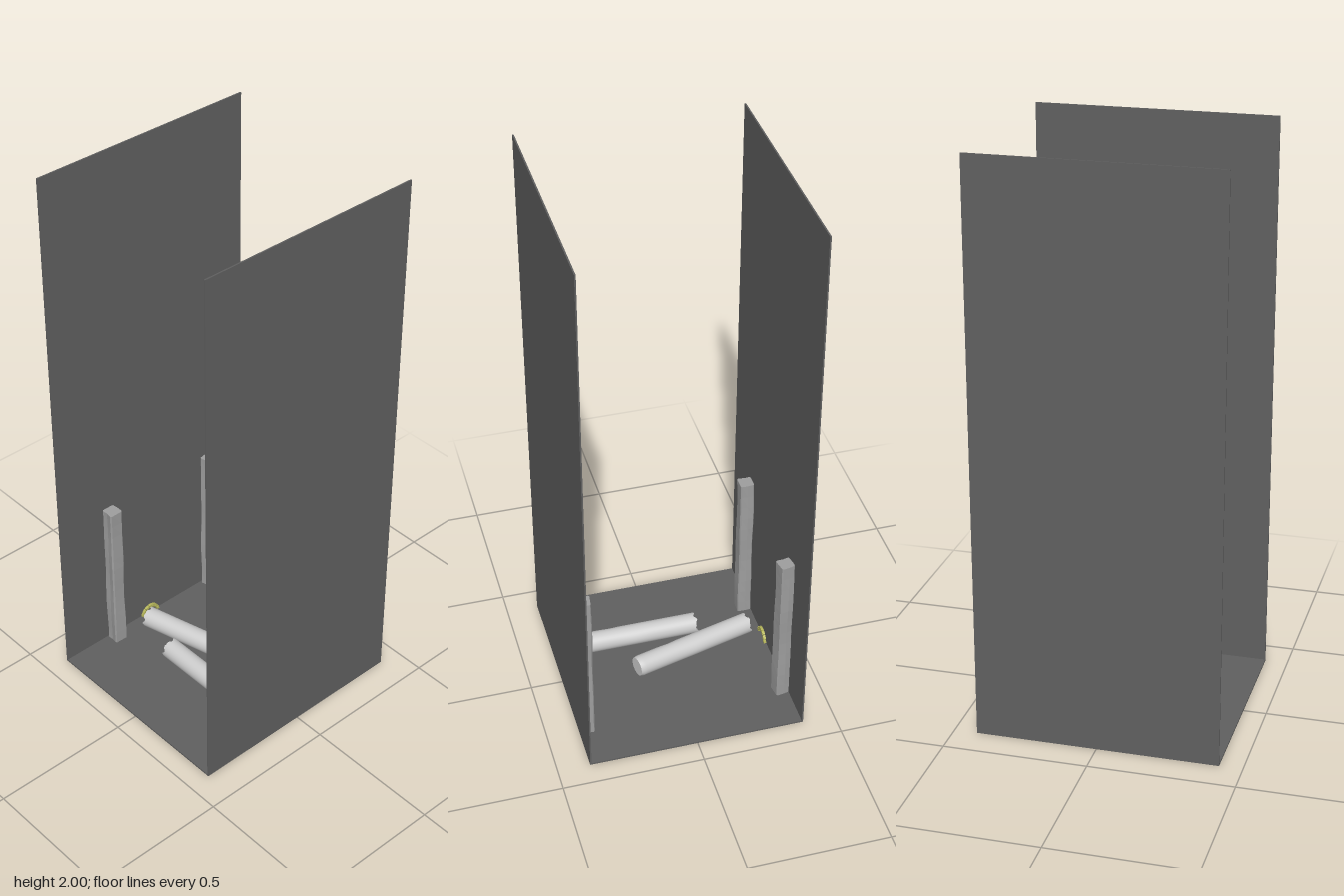
import * as THREE from 'three';

const mat = (color, extra = {}) => new THREE.MeshStandardMaterial({ color, ...extra });

function add(parent, name, geometry, material, x = 0, y = 0, z = 0) {
  const mesh = new THREE.Mesh(geometry, material);
  mesh.name = name;
  mesh.position.set(x, y, z);
  parent.add(mesh);
  return mesh;
}

// Log lying along z: cut end at +z, splintered end at -z, a worn dent on its -x side
function logGeometry(radius, length) {
  const g = new THREE.CylinderGeometry(radius, radius, length, 32, 40);
  g.rotateX(Math.PI / 2);
  const p = g.attributes.position;
  const v = new THREE.Vector3();
  for (let i = 0; i < p.count; i++) {
    v.fromBufferAttribute(p, i);
    const r = Math.hypot(v.x, v.y);
    if (r > 1e-4) {
      const a = Math.atan2(v.y, v.x);
      const side = Math.max(0, -Math.cos(a));
      const dent = 0.007 * side ** 4 * Math.exp(-(((v.z - 0.09) / 0.022) ** 2));
      const knot = 0.002 * Math.max(0, Math.cos(a)) ** 6 * Math.exp(-(((v.z - 0.0) / 0.05) ** 2));
      const rim = v.z > length / 2 - 0.001 ? 0.003 : 0;
      const k = (r - dent + knot - rim) / r;
      v.x *= k;
      v.y *= k;
      if (v.z < -length / 2 + 0.001) v.z += 0.004 * Math.sin(5 * a) + 0.003 * Math.sin(9 * a + 1);
    } else if (v.z < 0) {
      v.z += 0.006;
    }
    p.setXYZ(i, v.x, v.y, v.z);
  }
  g.computeVertexNormals();
  return g;
}

// Rough-hewn square post with chipped corners and a slight swell
function postGeometry(height) {
  const outline = [[-0.022, -0.025], [0.021, -0.025], [0.025, -0.021], [0.026, 0.002], [0.024, 0.022],
    [0.02, 0.025], [-0.021, 0.024], [-0.025, 0.02], [-0.023, 0.0], [-0.026, -0.02]];
  const shape = new THREE.Shape(outline.map(([x, y]) => new THREE.Vector2(x, y)));
  const g = new THREE.ExtrudeGeometry(shape, { depth: height, steps: 12, bevelEnabled: false });
  g.rotateX(-Math.PI / 2);
  const p = g.attributes.position;
  for (let i = 0; i < p.count; i++) {
    const x = p.getX(i), y = p.getY(i), z = p.getZ(i);
    const k = 1 + 0.03 * Math.sin(y * 14 + x * 60) - 0.03 * Math.cos(y * 23 + z * 50);
    p.setXYZ(i, x * k, y, z * k);
  }
  g.computeVertexNormals();
  return g;
}

// One wedge-shaped block of an arch
function wedgeGeometry(inner, outer, from, to, depth) {
  const shape = new THREE.Shape();
  shape.absarc(0, 0, outer, from, to, false);
  shape.absarc(0, 0, inner, to, from, true);
  const g = new THREE.ExtrudeGeometry(shape, { depth, bevelEnabled: false, curveSegments: 3 });
  g.translate(0, 0, -depth / 2);
  return g;
}

export function createModel() {
  const model = new THREE.Group();
  const dark = mat(0x606060);
  const postMat = mat(0x9e9e9e, { flatShading: true });
  const logMat = mat(0xcccccc);
  const yellow = mat(0xb8b85c);

  // Floor and the two tall facing walls
  add(model, 'floor', new THREE.BoxGeometry(0.84, 0.006, 0.77), dark, 0, 0.003, 0);
  const wall = new THREE.BoxGeometry(0.84, 2, 0.005);
  add(model, 'frontWall', wall, dark, 0, 1, 0.383);
  add(model, 'backWall', wall, dark, 0, 1, -0.383);

  // Posts against both walls
  const post = postGeometry(0.6);
  for (const s of [1, -1]) {
    const wallName = s > 0 ? 'front' : 'back';
    add(model, wallName + 'RightPost', post, postMat, -0.207, 0.002, s * 0.355);
    const twisted = add(model, wallName + 'LeftPost', post, postMat, 0.25, 0.002, s * 0.355);
    twisted.rotation.y = s > 0 ? -0.14 : 0.17;

    // Small arch of separate blocks at the foot of the wall
    const arch = new THREE.Group();
    arch.name = wallName + 'Arch';
    arch.position.set(-0.03, 0.003, s * 0.376);
    const blocks = 7;
    for (let i = 0; i < blocks; i++) {
      const a = Math.PI / blocks;
      add(arch, 'archBlock', wedgeGeometry(0.029, 0.04, (i + 0.06) * a, (i + 0.94) * a, 0.01), yellow);
    }
    model.add(arch);
  }

  // Two logs on the floor
  const log = logGeometry(0.0375, 0.46);
  add(model, 'straightLog', log, logMat, -0.128, 0.043, 0.085);
  add(model, 'angledLog', log, logMat, -0.018, 0.043, -0.105).rotation.y = 0.256;

  return model;
}
